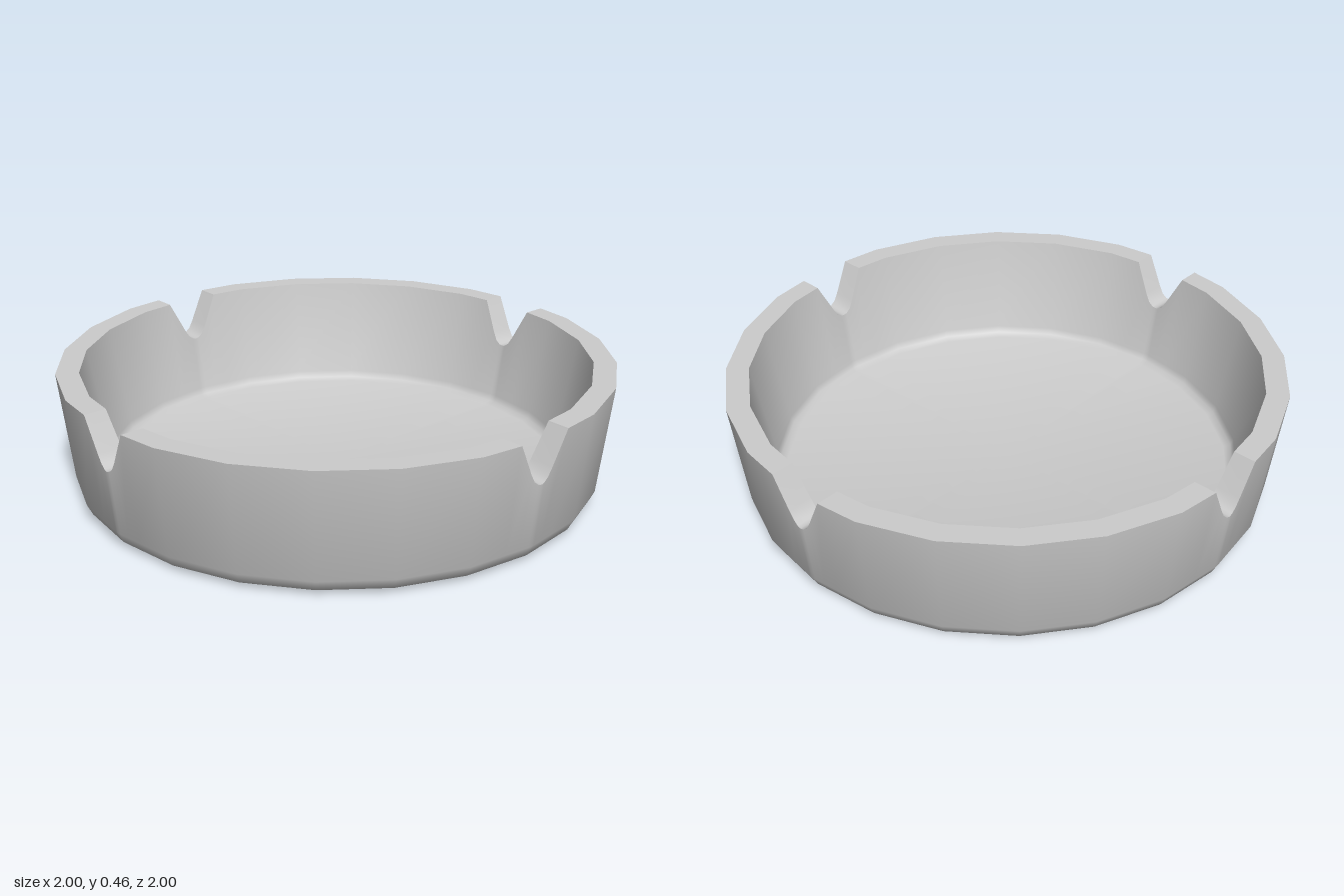
import * as THREE from 'three';
import { toCreasedNormals } from 'three/addons/utils/BufferGeometryUtils.js';

const RIM = 0.46;
const STEP = Math.PI / 12; // 24-sided bowl
const SLOPE = Math.tan(STEP / 2);

// Half of the notch outline: sideways offset and height
const NOTCH = [[0.11, RIM], [0.05, 0.34], [0.032, 0.31], [0.014, 0.296], [0, 0.293]];

// Closed section of the bowl: underside, outer wall, rim, inner wall, floor
function section(top) {
  const outer = 0.97 + 0.045 * (top - 0.06) / (RIM - 0.06);
  const inner = 0.865 + 0.067 * (top - 0.085) / (RIM - 0.085);
  return [
    [0, 0], [0.9, 0], [0.95, 0.02], [0.97, 0.06], [outer, top],
    [inner, top], [0.865, 0.085], [0.855, 0.06], [0.83, 0.05], [0, 0.05],
  ];
}

// Column at a corner of the polygon
const corner = (i) => section(RIM).map(([r, y]) =>
  new THREE.Vector3(r * Math.sin(i * STEP), y, r * Math.cos(i * STEP)));

// Column inside a notch, lying on the flat facets beside the axis
const notchColumn = ([x, top]) => section(top).map(([r, y]) =>
  r === 0 ? new THREE.Vector3(0, y, 0) : new THREE.Vector3(x, y, r - Math.abs(x) * SLOPE));

function bowlGeometry() {
  // One quarter, with its notch in the middle
  const quarter = [
    ...[-3, -2, -1].map(corner),
    ...NOTCH.map(([x, y]) => notchColumn([-x, y])),
    ...NOTCH.slice(0, -1).reverse().map(notchColumn),
    ...[1, 2, 3].map(corner),
  ];
  const up = new THREE.Vector3(0, 1, 0);
  const positions = [];
  for (let q = 0; q < 4; q++) {
    const cols = quarter.map((col) => col.map((p) => p.clone().applyAxisAngle(up, q * Math.PI / 2)));
    for (let i = 0; i < cols.length - 1; i++) {
      const last = cols[i].length - 2;
      for (let j = 0; j <= last; j++) {
        const a = cols[i][j], b = cols[i + 1][j], c = cols[i + 1][j + 1], d = cols[i][j + 1];
        // The first and last bands are fans around the centre
        const tris = j === 0 ? [a, c, d] : j === last ? [a, b, c] : [a, b, c, a, c, d];
        tris.forEach((p) => positions.push(p.x, p.y, p.z));
      }
    }
  }
  const geometry = new THREE.BufferGeometry();
  geometry.setAttribute('position', new THREE.Float32BufferAttribute(positions, 3));
  return toCreasedNormals(geometry, THREE.MathUtils.degToRad(50));
}

export function createModel() {
  const group = new THREE.Group();
  group.name = 'ashtray';
  const bowl = new THREE.Mesh(bowlGeometry(), new THREE.MeshStandardMaterial({ color: 0xcccccc }));
  bowl.name = 'notchedBowl';
  group.add(bowl);
  return group;
}
